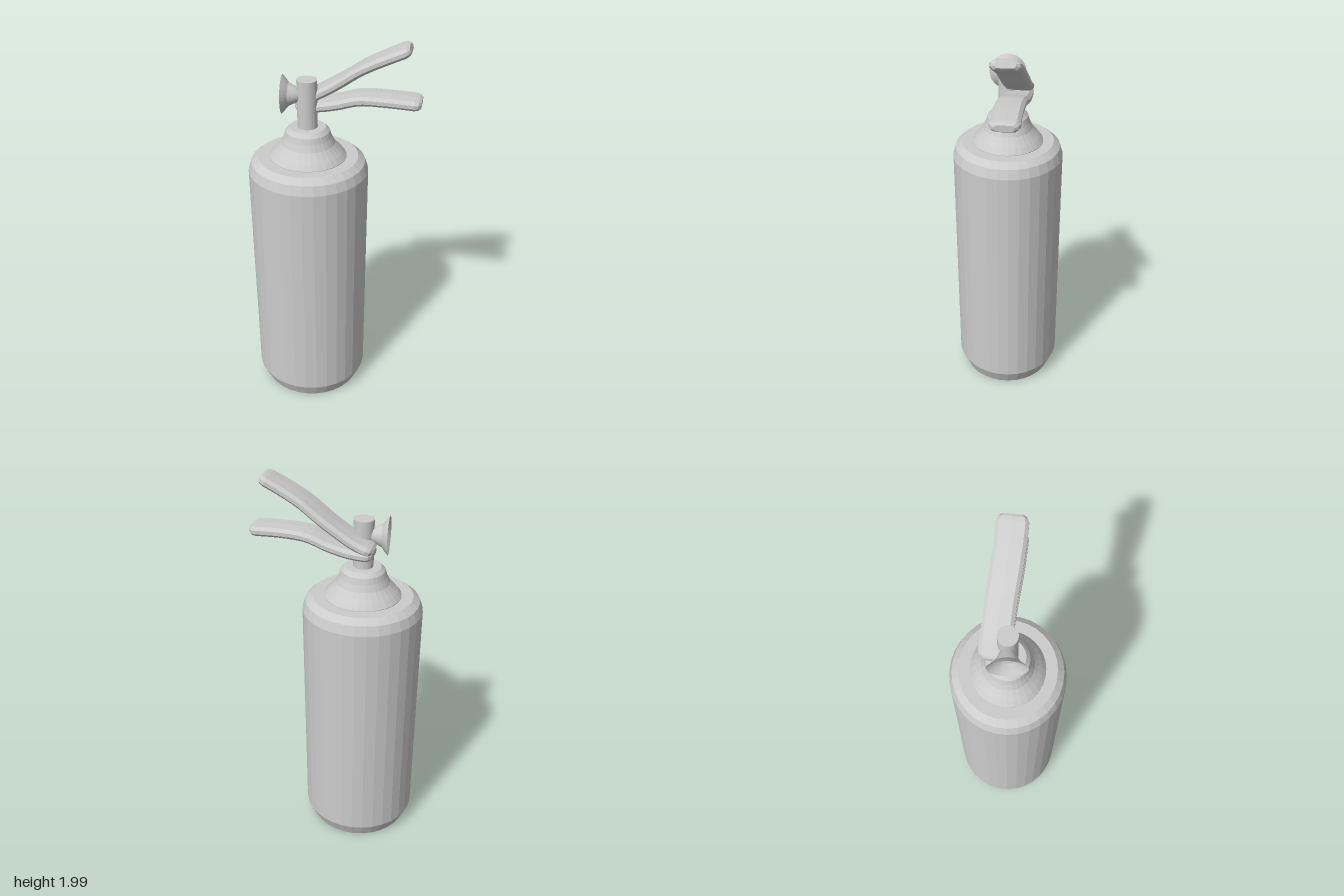
import * as THREE from 'three';

const SIDES = 32;
const material = new THREE.MeshStandardMaterial({ color: 0xcccccc, flatShading: true });

function add(parent, name, geometry) {
  const mesh = new THREE.Mesh(geometry, material);
  mesh.name = name;
  parent.add(mesh);
  return mesh;
}

// Revolve [radius, height] pairs, listed from bottom to top
function lathe(profile) {
  return new THREE.LatheGeometry(profile.map(([r, y]) => new THREE.Vector2(r, y)), SIDES);
}

// Sweep a chamfered bar along a path, narrowing it at both ends
function leverGeometry(path, halfWidth, halfThick) {
  const curve = new THREE.CatmullRomCurve3(path.map((p) => new THREE.Vector3(...p)));
  const section = [[1, -0.35], [1, 0.35], [0.78, 0.9], [0, 1], [-0.78, 0.9],
    [-1, 0.35], [-1, -0.35], [-0.78, -0.9], [0, -1], [0.78, -0.9]];
  const n = section.length;
  const stations = [0, 0.02, 0.05];
  for (let i = 1; i <= 14; i++) stations.push(0.05 + (0.9 * i) / 14);
  stations.push(0.98, 1);
  const up = new THREE.Vector3(0, 1, 0);
  const positions = [];
  const index = [];
  stations.forEach((t, i) => {
    const centre = curve.getPointAt(t);
    const tangent = curve.getTangentAt(t);
    const side = tangent.clone().cross(up).normalize();
    const normal = side.clone().cross(tangent);
    const end = Math.min(t, 1 - t);
    const w = halfWidth * (end < 0.01 ? 0.66 : end < 0.04 ? 0.9 : 1);
    const h = halfThick * (end < 0.01 ? 0.6 : end < 0.04 ? 0.9 : 1);
    for (const [a, b] of section) {
      const p = centre.clone().addScaledVector(side, a * w).addScaledVector(normal, b * h);
      positions.push(p.x, p.y, p.z);
    }
    if (i === 0) return;
    for (let j = 0; j < n; j++) {
      const k = (j + 1) % n;
      const a = (i - 1) * n;
      const b = i * n;
      index.push(a + j, b + j, a + k, b + j, b + k, a + k);
    }
  });
  // Flat end caps
  const last = (stations.length - 1) * n;
  for (let j = 1; j < n - 1; j++) {
    index.push(0, j, j + 1, last, last + j + 1, last + j);
  }
  const geometry = new THREE.BufferGeometry();
  geometry.setAttribute('position', new THREE.Float32BufferAttribute(positions, 3));
  geometry.setIndex(index);
  geometry.computeVertexNormals();
  return geometry;
}

export function createModel() {
  const model = new THREE.Group();
  model.name = 'fireExtinguisher';

  // Slightly oval round parts share one axis
  const bottle = new THREE.Group();
  bottle.name = 'bottle';
  bottle.position.x = -0.122;
  bottle.scale.z = 0.94;
  model.add(bottle);

  add(bottle, 'tank', lathe([[0, 0], [0.262, 0], [0.298, 0.08], [0.298, 1.33],
    [0.282, 1.378], [0.248, 1.405], [0, 1.405]]));
  add(bottle, 'shoulder', lathe([[0.19, 1.4], [0.19, 1.408], [0.171, 1.432], [0.15, 1.455],
    [0.132, 1.477], [0.117, 1.51], [0.108, 1.54], [0.088, 1.56], [0, 1.56]]));
  const stem = add(bottle, 'valveStem', new THREE.CylinderGeometry(0.049, 0.049, 0.25, SIDES));
  stem.position.y = 1.675;

  // Flared nozzle with a dished mouth, pointing sideways
  const nozzle = add(model, 'nozzle', lathe([[0.028, 0], [0.03, 0.04], [0.041, 0.06],
    [0.056, 0.09], [0.074, 0.104], [0.092, 0.12], [0.06, 0.1], [0.03, 0.085], [0, 0.08]]));
  nozzle.rotation.z = Math.PI / 2;
  nozzle.position.set(-0.12, 1.722, 0);

  // Squeeze lever above, carrying handle below
  add(model, 'upperLever', leverGeometry([[-0.178, 1.672, -0.062], [-0.1, 1.705, -0.053],
    [-0.03, 1.745, -0.043], [0.06, 1.805, -0.03], [0.15, 1.87, -0.013],
    [0.25, 1.925, 0.002], [0.355, 1.975, 0.012]], 0.07, 0.025));
  add(model, 'lowerHandle', leverGeometry([[-0.178, 1.655, -0.062], [-0.07, 1.66, -0.048],
    [0.03, 1.682, -0.034], [0.13, 1.714, -0.018], [0.25, 1.72, 0],
    [0.418, 1.714, 0.017]], 0.069, 0.026));

  return model;
}
